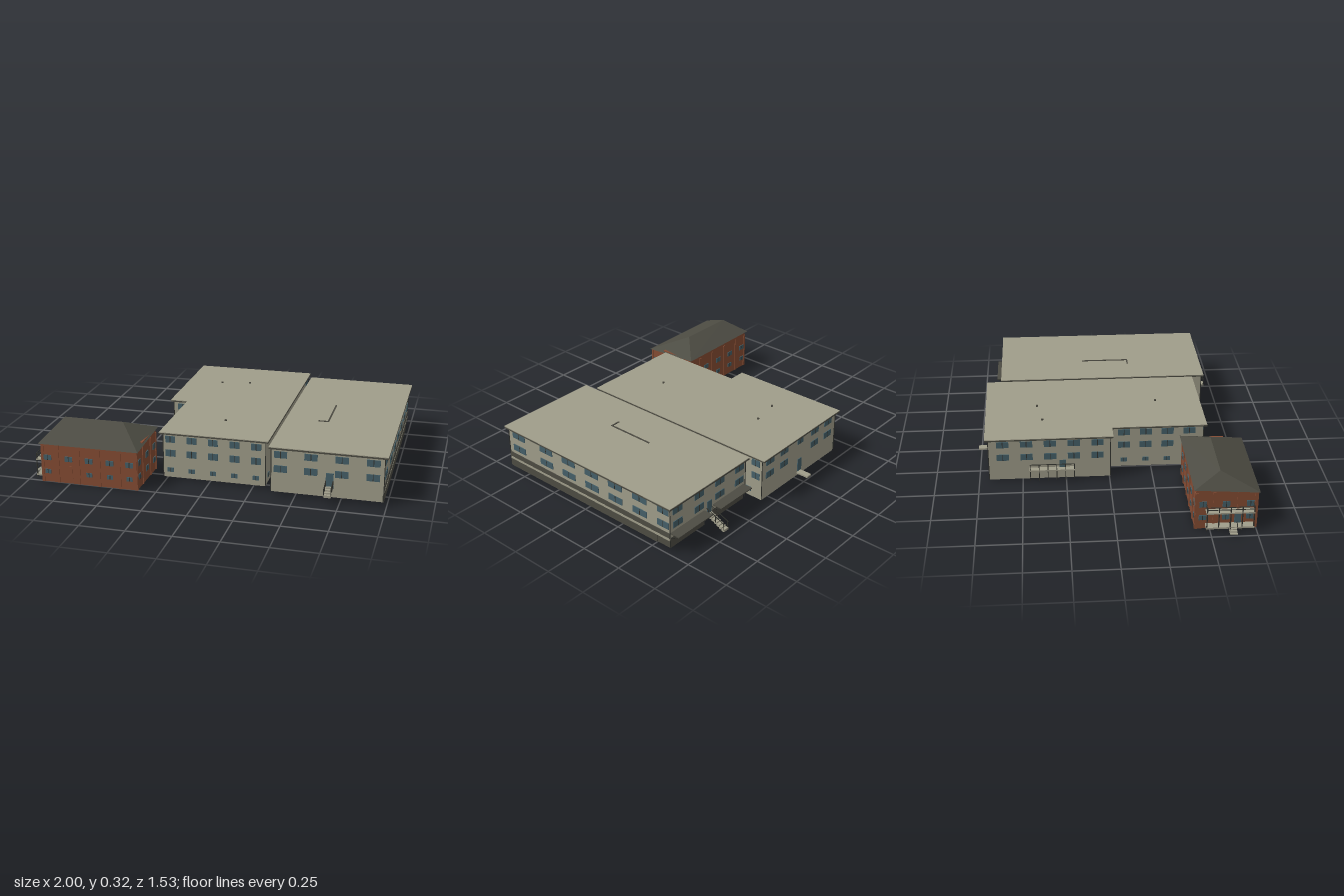
import * as THREE from 'three';

const mat = (name, color, side = THREE.FrontSide) => {
  const m = new THREE.MeshStandardMaterial({ color, side });
  m.name = name;
  return m;
};

export function createModel() {
  const plaster = mat('plaster', 0xa09d8a);
  const dark = mat('darkRoofing', 0x4d4c43);
  const brick = mat('brick', 0x854c33);
  const glass = mat('glass', 0x456069);
  const metal = mat('darkMetal', 0x33342f);

  const root = new THREE.Group();
  root.name = 'buildingComplex';
  const group = (name) => {
    const g = new THREE.Group();
    g.name = name;
    root.add(g);
    return g;
  };
  const add = (parent, name, geo, material) => {
    const m = new THREE.Mesh(geo, material);
    m.name = name;
    parent.add(m);
    return m;
  };
  // Box given by its limits on each axis
  const box = (parent, name, material, x0, x1, y0, y1, z0, z1) => {
    const m = add(parent, name, new THREE.BoxGeometry(x1 - x0, y1 - y0, z1 - z0), material);
    m.position.set((x0 + x1) / 2, (y0 + y1) / 2, (z0 + z1) / 2);
    return m;
  };
  // Thin plate on a wall: axis is the wall normal, at the wall plane, u the place along it
  const plate = (parent, name, material, axis, at, u, w, y0, y1, t = 0.004) => {
    const a = [at - t, at + t], b = [u - w / 2, u + w / 2];
    return axis === 'x'
      ? box(parent, name, material, ...a, y0, y1, ...b)
      : box(parent, name, material, ...b, y0, y1, ...a);
  };
  // Rows of windows, each with a centre bar
  const windows = (parent, axis, at, us, w, rows) => {
    for (const [y0, y1] of rows) for (const u of us) {
      plate(parent, 'window', glass, axis, at, u, w, y0, y1);
      plate(parent, 'windowBar', metal, axis, at, u, 0.004, y0, y1, 0.0048);
    }
  };
  const spread = (a, b, n) => Array.from({ length: n }, (_, i) => a + (b - a) * i / (n - 1));
  // Straight bar between two points
  const bar = (parent, name, a, b, r = 0.0025, material = metal) => {
    const p = new THREE.Vector3(...a), q = new THREE.Vector3(...b);
    const m = add(parent, name, new THREE.CylinderGeometry(r, r, p.distanceTo(q), 5), material);
    m.position.copy(p).lerp(q, 0.5);
    m.quaternion.setFromUnitVectors(new THREE.Vector3(0, 1, 0), q.sub(p).normalize());
  };
  // Upright prism over a plan outline of [x, z] points
  const prism = (parent, name, material, pts, y0, y1) => {
    const shape = new THREE.Shape(pts.map(([x, z]) => new THREE.Vector2(x, -z)));
    const geo = new THREE.ExtrudeGeometry(shape, { depth: y1 - y0, bevelEnabled: false });
    geo.rotateX(-Math.PI / 2);
    add(parent, name, geo, material).position.y = y0;
  };
  // Flight of steps running along z, with handrails
  const stairs = (parent, x0, x1, zTop, zEnd, yTop, yEnd, n) => {
    for (let i = 0; i < n; i++) {
      const za = zTop + (zEnd - zTop) * i / n, zb = zTop + (zEnd - zTop) * (i + 1) / n;
      const y = yTop + (yEnd - yTop) * i / (n - 1);
      box(parent, 'step', plaster, x0, x1, y - 0.014, y, Math.min(za, zb), Math.max(za, zb));
    }
    for (const x of [x0, x1]) {
      bar(parent, 'handrail', [x, yTop + 0.035, zTop], [x, yEnd + 0.035, zEnd]);
      for (const t of [0.1, 0.5, 0.95]) {
        const z = zTop + (zEnd - zTop) * t, y = yTop + (yEnd - yTop) * t;
        bar(parent, 'railPost', [x, y - 0.005, z], [x, y + 0.035, z]);
      }
    }
  };
  const storeys = [[0.138, 0.177], [0.221, 0.259]];
  const basement = [[0.045, 0.07]];

  // Middle building: stepped plan under a flat roof
  const mid = group('middleBuilding');
  prism(mid, 'walls', plaster, [[-0.37, -0.69], [0.32, -0.69], [0.32, 0.55],
    [-0.265, 0.55], [-0.265, 0.005], [-0.37, 0.005]], 0.013, 0.275);
  const eaves = [[-0.39, -0.71], [0.335, -0.715], [0.337, 0.565], [-0.285, 0.57], [-0.285, 0.02], [-0.388, 0.02]];
  prism(mid, 'fascia', dark, eaves, 0.272, 0.28);
  prism(mid, 'roof', plaster, eaves, 0.28, 0.284);
  const midCols = spread(-0.225, 0.268, 5);
  windows(mid, 'z', 0.55, midCols, 0.056, storeys);
  windows(mid, 'z', 0.55, midCols, 0.036, basement);
  windows(mid, 'z', 0.005, [-0.32], 0.056, storeys);
  windows(mid, 'z', 0.005, [-0.32], 0.036, basement);
  windows(mid, 'z', -0.69, [-0.3, -0.17, 0.12, 0.25], 0.07, storeys);
  windows(mid, 'z', -0.69, [-0.03], 0.05, [storeys[1]]);
  windows(mid, 'x', -0.37, spread(-0.61, -0.07, 5), 0.07, storeys);
  windows(mid, 'x', -0.265, spread(0.09, 0.47, 4), 0.07, storeys);
  windows(mid, 'x', -0.265, spread(0.09, 0.47, 4), 0.036, basement);
  windows(mid, 'x', 0.32, [-0.648], 0.055, storeys);
  windows(mid, 'x', 0.32, spread(-0.6, 0.48, 10), 0.036, basement);
  for (const [x, z] of [[0.03, 0.3], [-0.17, -0.38], [0, -0.41]])
    bar(mid, 'roofVent', [x, 0.28, z], [x, 0.292, z], 0.007, dark);
  for (const [x, z] of [[-0.267, 0.553], [0.322, 0.553], [-0.372, 0.005], [-0.372, -0.692], [0.322, -0.692]])
    bar(mid, 'downpipe', [x, 0.02, z], [x, 0.275, z]);
  // Back door with its pad and canopy
  plate(mid, 'backDoor', glass, 'z', -0.69, -0.03, 0.036, 0.04, 0.12);
  box(mid, 'backDoorPad', plaster, -0.048, -0.01, 0.025, 0.035, -0.765, -0.69);
  // Side gallery
  box(mid, 'galleryFloor', plaster, -0.405, -0.37, 0.077, 0.085, -0.46, -0.2);
  bar(mid, 'galleryRail', [-0.402, 0.12, -0.46], [-0.402, 0.12, -0.2]);
  for (const z of spread(-0.456, -0.204, 6))
    bar(mid, 'galleryPost', [-0.402, 0.015, z], [-0.402, 0.12, z]);
  plate(mid, 'galleryDoor', glass, 'x', -0.37, -0.27, 0.036, 0.085, 0.13);

  // East building: main block over a shorter lower storey
  const east = group('eastBuilding');
  box(east, 'walls', plaster, 0.37, 0.98, 0.085, 0.275, -0.61, 0.625);
  box(east, 'lowerWalls', plaster, 0.37, 0.98, 0.022, 0.085, -0.52, 0.625);
  box(east, 'fascia', dark, 0.356, 1, 0.272, 0.281, -0.63, 0.64);
  box(east, 'roof', plaster, 0.356, 1, 0.281, 0.285, -0.63, 0.64);
  plate(east, 'lowerBand', dark, 'x', 0.98, 0.0525, 1.145, 0.023, 0.07);
  plate(east, 'floorEdge', plaster, 'x', 0.98, 0.0075, 1.235, 0.07, 0.085, 0.0045);
  plate(east, 'upperBand', dark, 'x', 0.98, 0.0075, 1.235, 0.085, 0.115);
  const eastCols = [0.42, 0.586, 0.754, 0.922];
  windows(east, 'z', 0.625, eastCols, 0.072, storeys);
  windows(east, 'z', -0.61, eastCols, 0.072, storeys);
  windows(east, 'x', 0.98, [0.542, 0.315, 0.135, -0.045, -0.222, -0.4], 0.1, storeys);
  windows(east, 'x', 0.98, [-0.564], 0.078, storeys);
  windows(east, 'x', 0.37, spread(0.5, -0.5, 6), 0.1, storeys);
  for (const x of [0.368, 0.982]) for (const z of [-0.612, 0.627])
    bar(east, 'downpipe', [x, 0.03, z], [x, 0.275, z]);
  box(east, 'roofRidge', dark, 0.597, 0.605, 0.284, 0.289, -0.115, 0.175);
  box(east, 'roofRidgeEnd', dark, 0.545, 0.605, 0.284, 0.289, 0.17, 0.178);
  // Rear stores with bracketed awnings
  for (const [x0, x1] of [[0.38, 0.64], [0.71, 0.978]]) {
    box(east, 'rearStore', dark, x0, x1, 0.023, 0.085, -0.61, -0.52);
    box(east, 'awning', dark, x0, x1, 0.112, 0.118, -0.67, -0.608);
    for (const x of spread(x0 + 0.005, x1 - 0.005, 4))
      bar(east, 'awningBracket', [x, 0.085, -0.61], [x, 0.114, -0.664]);
  }
  // Doors and steps front and back
  plate(east, 'frontDoor', glass, 'z', 0.625, 0.69, 0.042, 0.07, 0.16);
  stairs(east, 0.67, 0.709, 0.625, 0.697, 0.084, 0.06, 4);
  plate(east, 'backDoor', glass, 'z', -0.61, 0.672, 0.036, 0.085, 0.16);
  stairs(east, 0.655, 0.69, -0.61, -0.73, 0.085, 0.034, 7);

  // Brick house
  const house = group('brickHouse');
  box(house, 'walls', brick, -0.915, -0.355, 0, 0.228, 0.42, 0.752);
  const houseCols = [-0.88, -0.755, -0.635, -0.512, -0.398];
  const houseRows = [[0.05, 0.075], [0.13, 0.16]];
  for (const z of [0.42, 0.752]) {
    windows(house, 'z', z, houseCols, 0.044, [houseRows[1]]);
    windows(house, 'z', z, houseCols.filter((_, i) => z < 0.5 || i !== 1), 0.034, [houseRows[0]]);
    for (const x of [-0.909, -0.818, -0.695, -0.574, -0.455, -0.361])
      plate(house, 'pilaster', brick, 'z', z, x, 0.014, 0, 0.225, 0.0045);
  }
  plate(house, 'frontDoor', brick, 'z', 0.752, -0.75, 0.034, 0.03, 0.105, 0.003);
  for (const x of [-0.915, -0.355]) {
    windows(house, 'x', x, [0.46, 0.585, 0.715], 0.04, [[0.055, 0.085], [0.135, 0.17]]);
    for (const z of [0.427, 0.52, 0.65, 0.745])
      plate(house, 'pilaster', brick, 'x', x, z, 0.014, 0, 0.225, 0.0045);
  }
  // Hipped roof, its back eave higher than the front
  const [A, B, C, D] = [[-0.93, 0.225, 0.762], [-0.345, 0.225, 0.762], [-0.345, 0.25, 0.403], [-0.93, 0.25, 0.408]];
  const R = [-0.848, 0.32, 0.555], S = [-0.5, 0.32, 0.555];
  const hip = new THREE.BufferGeometry();
  hip.setAttribute('position', new THREE.Float32BufferAttribute(
    [A, B, S, A, S, R, B, C, S, C, D, R, C, R, S, D, A, R, A, D, C, A, C, B].flat(), 3));
  hip.computeVertexNormals();
  add(house, 'hippedRoof', hip, dark);
  box(house, 'eaveBoard', brick, -0.915, -0.355, 0.22, 0.246, 0.42, 0.65);
  // Side porch with balcony and steps
  box(house, 'porchFloor', plaster, -0.96, -0.915, 0.022, 0.032, 0.475, 0.735);
  box(house, 'balconyFloor', plaster, -0.96, -0.915, 0.115, 0.123, 0.475, 0.735);
  for (const y of [0.14, 0.155]) {
    bar(house, 'balconyRail', [-0.957, y, 0.478], [-0.957, y, 0.732]);
    for (const z of [0.478, 0.732]) bar(house, 'balconyRail', [-0.957, y, z], [-0.915, y, z]);
  }
  for (const z of spread(0.479, 0.731, 5))
    bar(house, 'porchPost', [-0.956, 0.01, z], [-0.956, 0.155, z], 0.0035);
  for (let i = 0; i < 3; i++)
    box(house, 'porchStep', plaster, -1 + i * 0.0133, -0.9867 + i * 0.0133, 0.008, 0.015 + i * 0.006, 0.6, 0.64);
  for (const z of [0.6, 0.64])
    bar(house, 'porchHandrail', [-0.99, 0.04, z], [-0.956, 0.062, z]);
  plate(house, 'porchDoor', glass, 'x', -0.915, 0.65, 0.036, 0.032, 0.1, 0.0048);

  return root;
}
